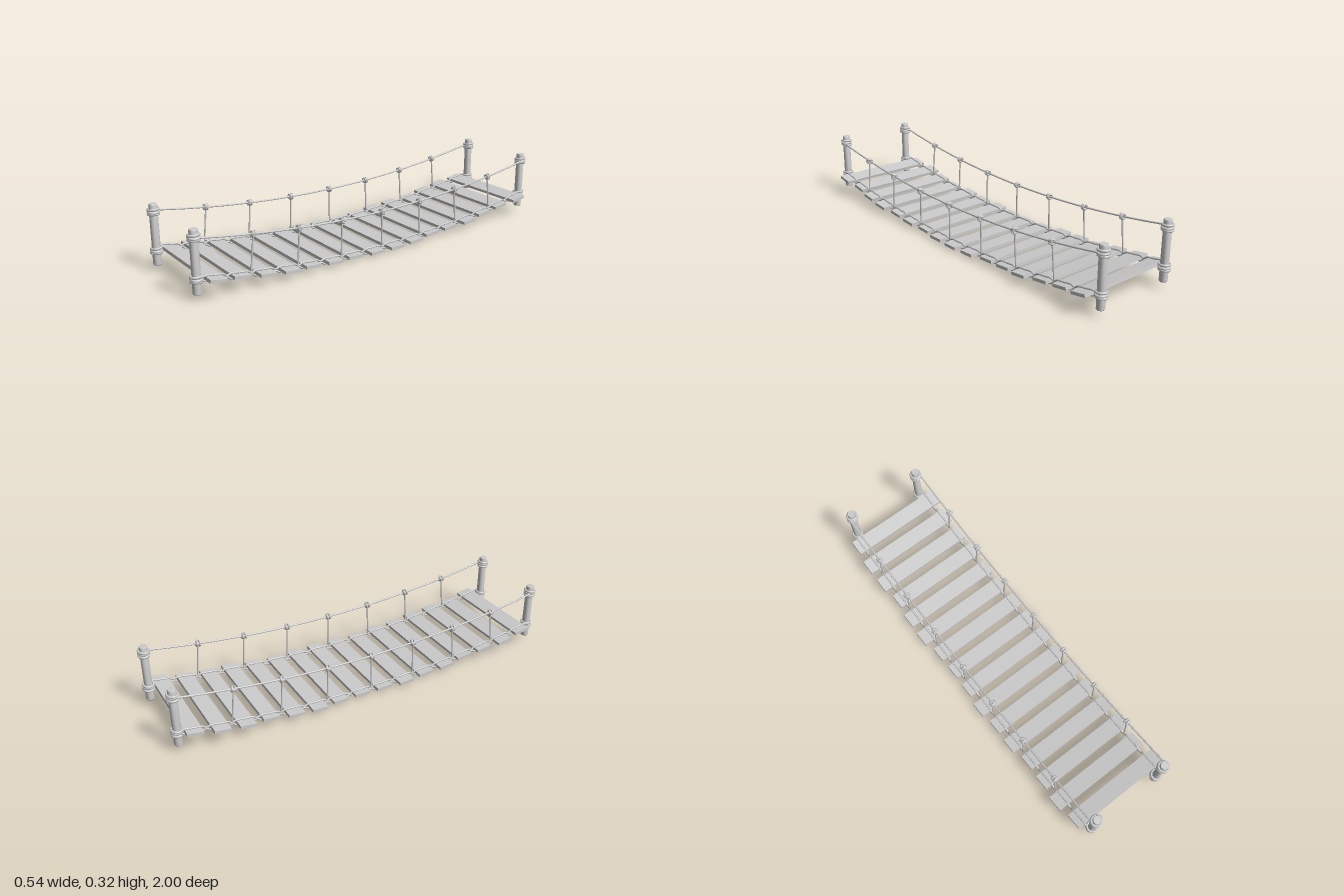
import * as THREE from 'three';
import { toCreasedNormals } from 'three/addons/utils/BufferGeometryUtils.js';

const CX = -0.004;          // lateral centre of the posts and ropes
const ROPE_X = 0.219, POST_X = 0.199, POST_Z = 0.968;
const PITCH = 0.12, PLANKS = 16;

// Sagging curves of the deck and the hand ropes
const deckY = z => 0.0175 + 0.095 * z * z;
const deckSlope = z => 0.19 * z;
const railY = z => 0.2 + 0.093 * z * z;

export function createModel() {
  const model = new THREE.Group();
  model.name = 'ropeBridge';
  const grey = new THREE.MeshStandardMaterial({ color: 0xcccccc });

  const add = (geometry, name, parent = model) => {
    const mesh = new THREE.Mesh(geometry, grey);
    mesh.name = name;
    parent.add(mesh);
    return mesh;
  };
  const rope = (points, name, segments, radius = 0.0045) =>
    add(new THREE.TubeGeometry(new THREE.CatmullRomCurve3(points), segments, radius, 8), name);

  // Planks follow the sag and are shifted a little sideways
  const shifts = [3, -12, -12, 4, -11, -16, 3, 7, 3, -12, -2, -7, 9, 3, -12, 3];
  const plankGeometry = new THREE.BoxGeometry(0.52, 0.015, 0.079);
  shifts.forEach((shift, i) => {
    const z = (i - (PLANKS - 1) / 2) * PITCH - 0.002;
    const plank = add(plankGeometry, 'plank');
    plank.position.set(shift / 1000, deckY(z), z);
    plank.rotation.x = -Math.atan(deckSlope(z));
  });

  // Posts with chamfered ends, bound by rope at deck and hand height
  const postGeometry = toCreasedNormals(new THREE.LatheGeometry([
    [0, 0.031], [0.0175, 0.031], [0.0195, 0.034], [0.0195, 0.318], [0.0175, 0.322], [0, 0.322],
  ].map(([r, y]) => new THREE.Vector2(r, y)), 16), 0.5);
  const ringGeometry = new THREE.TorusGeometry(0.0235, 0.006, 8, 24).rotateX(Math.PI / 2);
  for (const sx of [-1, 1]) for (const sz of [-1, 1]) {
    const group = new THREE.Group();
    group.name = 'postWithBindings';
    group.position.set(CX + sx * POST_X, 0, sz * POST_Z);
    model.add(group);
    add(postGeometry, 'post', group);
    for (const y of [0.1, 0.285]) for (let k = -1; k <= 1; k++) {
      const ring = add(ringGeometry, 'bindingRing', group);
      ring.position.y = y + k * 0.0112;
      ring.rotation.set(0.06 * k, 0, 0.08 * (k === 0 ? -1 : 1));
    }
  }

  // Knot: two coils round the hand rope and two crossing diagonal loops
  const knotRing = new THREE.TorusGeometry(0.011, 0.0048, 8, 18);
  const addKnot = (x, y, z, side) => {
    const knot = new THREE.Group();
    knot.name = 'knot';
    knot.position.set(x, y, z);
    knot.rotation.x = -Math.atan(0.186 * z);
    model.add(knot);
    for (const s of [-1, 1]) {
      const coil = add(knotRing, 'knotCoil', knot);
      coil.position.z = s * 0.006;
      coil.rotation.y = s * 0.15;
      const loop = add(knotRing, 'knotLoop', knot);
      loop.position.set(side * 0.003, s * 0.003, 0);
      loop.rotation.set(Math.PI / 2 + s * 0.7, s * 0.5, 0);
    }
  };

  for (const side of [-1, 1]) {
    const x = CX + side * ROPE_X;

    // Hand rope
    const rail = [];
    for (let i = -8; i <= 8; i++) {
      const z = i / 8 * POST_Z;
      rail.push(new THREE.Vector3(x, railY(z), z));
    }
    rope(rail, 'handRope', 64);

    // Hangers with knots, reaching down between the planks
    for (let k = -3; k <= 3; k++) {
      const z = k * 0.234, foot = k * 0.24;
      rope([
        new THREE.Vector3(x, railY(z), z),
        new THREE.Vector3(x, deckY(foot), foot),
      ], 'hangerRope', 4, 0.004);
      addKnot(x, railY(z), z, side);
    }

    // Deck ropes: one over and one under the planks, meeting in each gap
    for (const level of [-1, 1]) {
      const points = [];
      const put = (z, offset) => {
        const a = Math.atan(deckSlope(z));
        points.push(new THREE.Vector3(x,
          deckY(z) + level * offset * Math.cos(a), z - level * offset * Math.sin(a)));
      };
      for (let i = 0; i < PLANKS; i++) {
        const z = (i - (PLANKS - 1) / 2) * PITCH - 0.002;
        put(z - PITCH / 2, 0.003);
        for (const d of [-0.04, 0, 0.04]) put(z + d, 0.012);
      }
      put(PLANKS / 2 * PITCH, 0.003);
      rope(points, level > 0 ? 'upperDeckRope' : 'lowerDeckRope', 256);
    }
  }

  return model;
}
